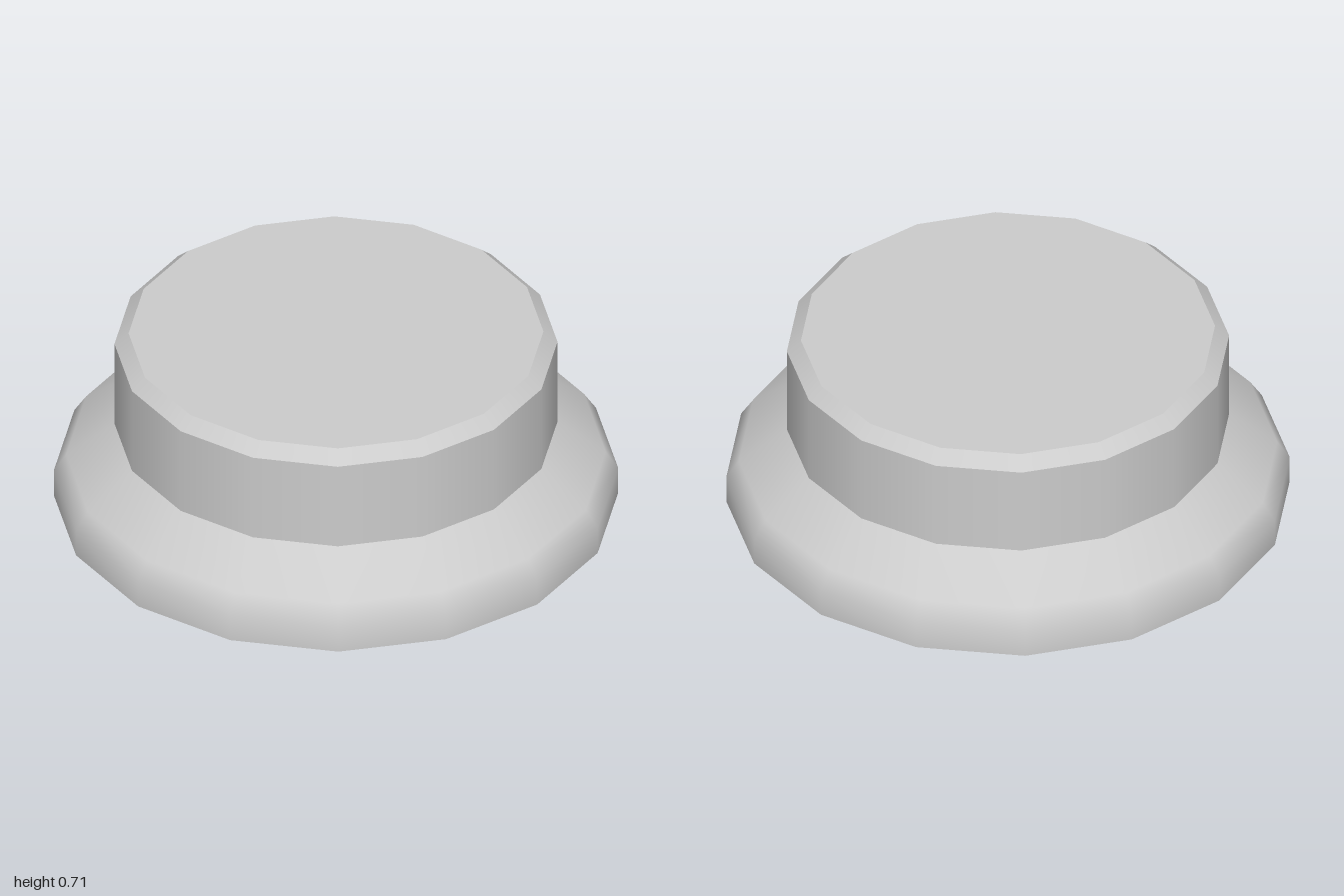
import * as THREE from 'three';

const SIDES = 16;

export function createModel() {
  const group = new THREE.Group();
  const material = new THREE.MeshStandardMaterial({ color: 0xcccccc, side: THREE.DoubleSide });

  // Revolves a [radius, y] profile; separate profiles keep creases sharp.
  const ring = (name, profile) => {
    const points = profile.map(([r, y]) => new THREE.Vector2(r, y));
    const mesh = new THREE.Mesh(new THREE.LatheGeometry(points, SIDES), material);
    mesh.name = name;
    group.add(mesh);
  };

  // Flat disc with a corner on the z axis, facing up or down.
  const disc = (name, radius, y, facing) => {
    const mesh = new THREE.Mesh(new THREE.CircleGeometry(radius, SIDES), material);
    mesh.rotation.x = -facing * Math.PI / 2;
    mesh.position.y = y;
    mesh.name = name;
    group.add(mesh);
  };

  // Outside of the cap
  ring('flaredSkirt', [[1, 0.025], [1, 0.13], [0.955, 0.2], [0.785, 0.33]]);
  ring('capWall', [[0.785, 0.33], [0.785, 0.67]]);
  ring('capBevel', [[0.785, 0.67], [0.735, 0.715]]);
  disc('capTop', 0.735, 0.715, 1);

  // Thin collar inside the skirt
  ring('innerCollar', [[0.785, 0], [0.785, 0.33]]);

  // Hollow inside of the cap, profiles run downwards so they face inwards
  ring('innerLedge', [[0.695, 0.335], [0.785, 0.335]]);
  ring('innerWall', [[0.695, 0.62], [0.695, 0.335]]);
  ring('innerBevel', [[0.65, 0.67], [0.695, 0.62]]);
  disc('ceiling', 0.65, 0.67, -1);

  return group;
}
